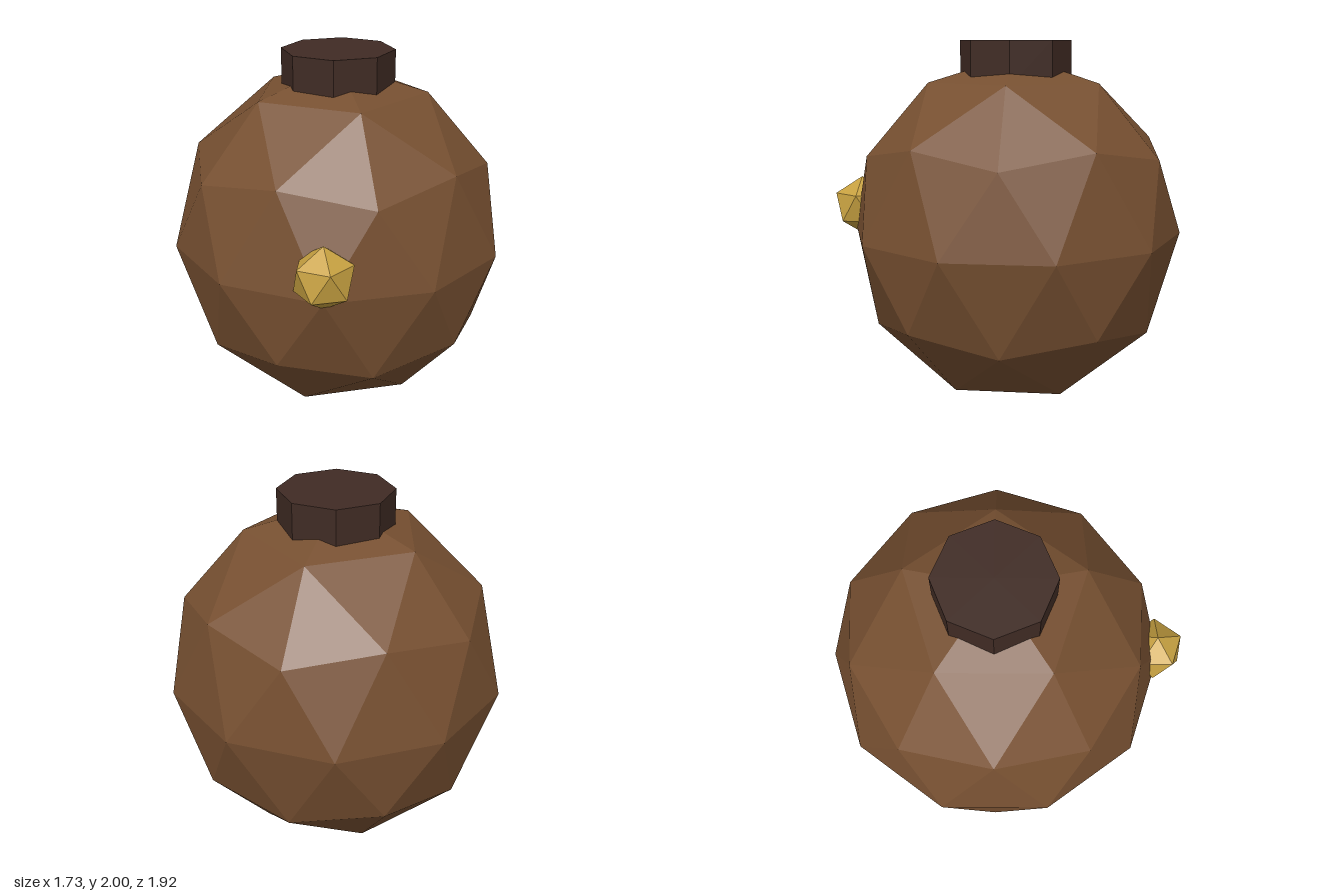
import * as THREE from 'three';

const material = (name, color) => {
  const m = new THREE.MeshStandardMaterial({ color, flatShading: true });
  m.name = name;
  return m;
};

// Icosahedron turned so that one corner points straight up
function uprightIcosahedron(radius, detail) {
  const golden = (1 + Math.sqrt(5)) / 2;
  return new THREE.IcosahedronGeometry(radius, detail).rotateZ(-Math.atan(1 / golden));
}

export function createModel() {
  const model = new THREE.Group();
  model.name = 'roundFlask';

  const brown = material('brown', 0x775031);
  const darkBrown = material('dark brown', 0x402b24);
  const gold = material('gold', 0xc7a141);

  const add = (name, geometry, mat, x, y, z) => {
    const mesh = new THREE.Mesh(geometry, mat);
    mesh.name = name;
    mesh.position.set(x, y, z);
    model.add(mesh);
  };

  // Faceted body, slightly taller than wide
  add('body', uprightIcosahedron(1, 1).scale(0.91, 0.96, 0.91), brown, 0, 0.96, -0.05);

  // Eight-sided cap sunk into the top
  add('cap', new THREE.CylinderGeometry(0.303, 0.303, 0.24, 8), darkBrown, 0, 1.88, -0.05);

  // Small stud on the front
  add('stud', uprightIcosahedron(0.165, 0), gold, 0, 1.08, 0.82);

  return model;
}
